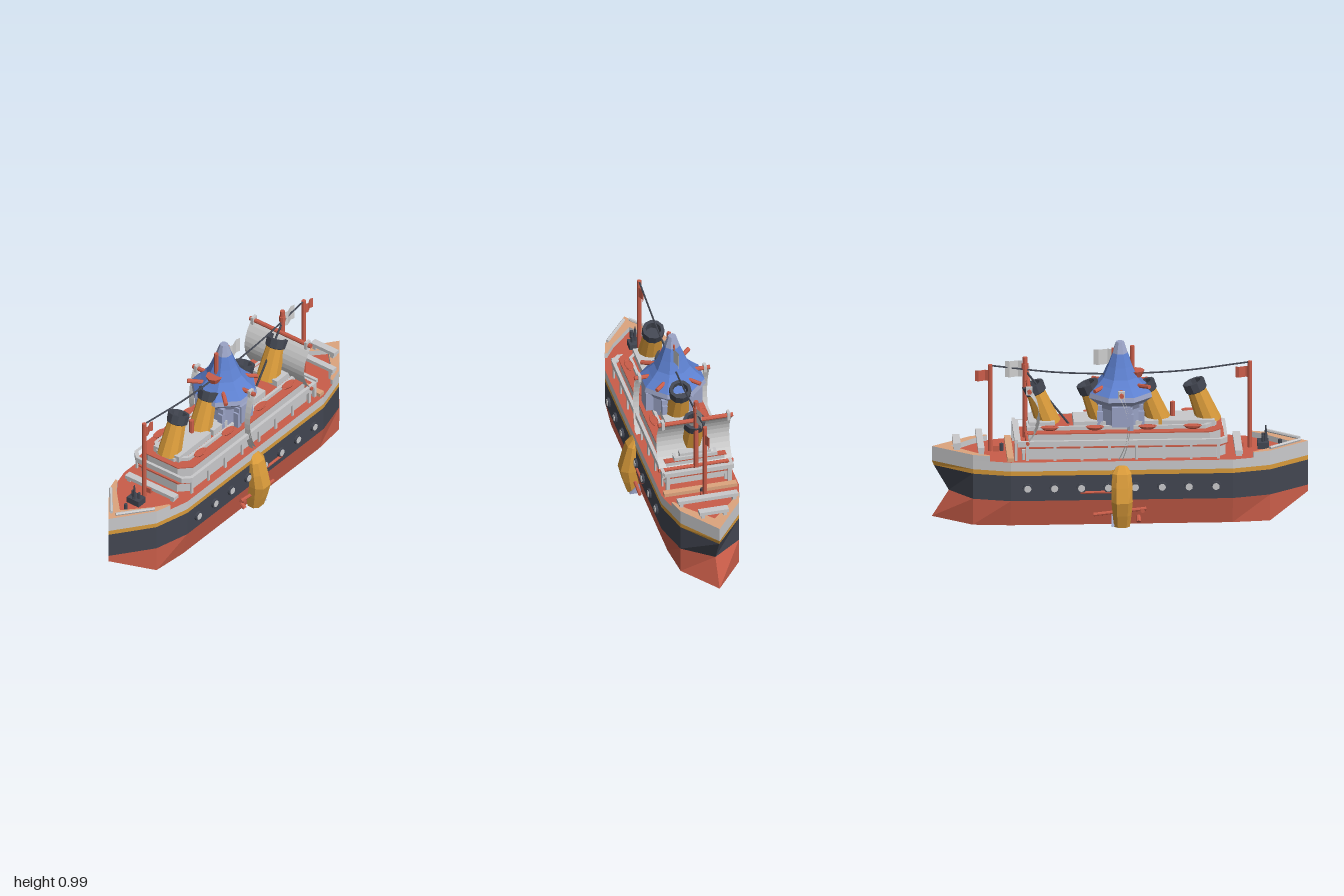
import * as THREE from 'three';

const mat = (name, color, side = THREE.FrontSide) => {
  const m = new THREE.MeshStandardMaterial({ color, side });
  m.name = name;
  return m;
};

export function createModel() {
  const ship = new THREE.Group();
  ship.name = 'steamship';
  const red = mat('red', 0xc95d49), dark = mat('charcoal', 0x424651), grey = mat('light grey', 0xc9c9cb);
  const gold = mat('gold', 0xd89a3a), tan = mat('tan', 0xdca47d), blue = mat('roof blue', 0x5d80cf);
  const slate = mat('slate blue', 0x9aa3c6), cloth = mat('sail cloth', 0xcfcfcf, THREE.DoubleSide);
  const redCloth = mat('red cloth', 0xc95d49, THREE.DoubleSide);

  // flat-shaded mesh
  const add = (name, geo, m, x = 0, y = 0, z = 0) => {
    const g = geo.index ? geo.toNonIndexed() : geo;
    g.computeVertexNormals();
    const mesh = new THREE.Mesh(g, m);
    mesh.name = name;
    mesh.position.set(x, y, z);
    ship.add(mesh);
    return mesh;
  };
  const box = (name, m, w, h, d, x, y, z) => add(name, new THREE.BoxGeometry(w, h, d), m, x, y, z);
  const cyl = (name, m, r0, r1, h, x, y, z, n = 8) => add(name, new THREE.CylinderGeometry(r1, r0, h, n), m, x, y, z);
  // round bar between two points
  const bar = (name, m, a, b, r, n = 8) => {
    const p = new THREE.Vector3(...a), q = new THREE.Vector3(...b), d = q.clone().sub(p);
    const c = p.clone().add(q).multiplyScalar(0.5);
    const mesh = cyl(name, m, r, r, d.length(), c.x, c.y, c.z, n);
    mesh.quaternion.setFromUnitVectors(new THREE.Vector3(0, 1, 0), d.normalize());
    return mesh;
  };
  // horizontal slab from an x,z outline
  const slab = (name, m, pts, y, h, hole) => {
    const v = (a) => a.map(([x, z]) => new THREE.Vector2(x, -z));
    const s = new THREE.Shape(v(pts));
    if (hole) s.holes.push(new THREE.Path(v(hole)));
    const g = new THREE.ExtrudeGeometry(s, { depth: h, bevelEnabled: false });
    return add(name, g.rotateX(-Math.PI / 2), m, 0, y, 0);
  };
  const outline = (w, z0, z1, c) => [[w, z0], [w, z1 - c], [w - c, z1], [c - w, z1], [-w, z1 - c], [-w, z0]];
  const faces = (quads) => {
    const p = [];
    for (const [a, b, c, d] of quads) p.push(...a, ...b, ...c, ...a, ...c, ...d);
    const g = new THREE.BufferGeometry();
    g.setAttribute('position', new THREE.Float32BufferAttribute(p, 3));
    return g;
  };

  // Hull: port half outline at each height, mirrored, then joined in coloured bands
  const level = (y, w, bowY, sternZ) => [[0, bowY, 1], [0.16, y, 0.79], [w, y, 0.59], [w, y, -0.59], [0.16, y, -0.79], [0, y, sternZ]];
  const flip = ([x, y, z]) => [-x, y, z];
  const levels = [level(0.03, 0.18, 0.14, -1), level(0.175, 0.212, 0.175, -0.91), level(0.315, 0.212, 0.315, -0.99),
    level(0.34, 0.212, 0.34, -1), level(0.39, 0.212, 0.39, -1)];
  const loops = levels.map((h) => [...h, ...h.slice(1, -1).reverse().map(flip)]);
  [['hullBottom', red], ['hullSide', dark], ['hullStripe', gold], ['hullTop', grey]].forEach(([name, m], k) => {
    const lo = loops[k], hi = loops[k + 1], n = lo.length;
    add(name, faces(lo.map((a, i) => [a, lo[(i + 1) % n], hi[(i + 1) % n], hi[i]])), m);
  });
  const cap = (h, up) => faces(h.slice(0, -1).map((a, i) => {
    const q = [a, flip(a), flip(h[i + 1]), h[i + 1]];
    return up ? q.reverse() : q;
  }));
  add('keel', cap(levels[0], false), red);
  add('deck', cap(levels[4], true), red);

  // Bulwarks at bow and stern, tan on top
  for (const s of [1, -1]) {
    const half = [[0.186, 0.7], [0.16, 0.79], [0, 1]], inner = [[0, 0.9], [0.12, 0.775], [0.172, 0.7]];
    const pts = [...half, ...half.slice(0, 2).reverse().map(([x, z]) => [-x, z]),
      ...inner.slice(1).reverse().map(([x, z]) => [-x, z]), ...inner.slice(0, 2), inner[2]];
    slab('bulwark', [tan, grey], pts.map(([x, z]) => [x, z * s]), 0.39, 0.03);
  }
  box('aftDeckStrip', tan, 0.4, 0.02, 0.035, 0, 0.4, -0.59);

  // Stacked deckhouses, red decks and grey rails
  slab('lowerHouse', grey, outline(0.165, -0.5, 0.555, 0.05), 0.39, 0.07);
  slab('lowerDeck', red, outline(0.18, -0.54, 0.57, 0.05), 0.455, 0.008);
  slab('lowerRail', grey, outline(0.195, -0.55, 0.565, 0.04), 0.47, 0.03, outline(0.177, -0.535, 0.548, 0.035));
  slab('upperHouse', grey, outline(0.16, -0.49, 0.53, 0.06), 0.46, 0.07);
  slab('upperDeck', red, outline(0.168, -0.5, 0.54, 0.06), 0.53, 0.006);
  slab('upperRail', grey, outline(0.118, -0.5, 0.51, 0.06), 0.536, 0.02, outline(0.102, -0.485, 0.495, 0.055));
  for (const [z, l] of [[0.36, 0.28], [0.13, 0.14], [-0.13, 0.24], [-0.42, 0.14]])
    box('topHouse', grey, 0.17, 0.037, l, 0, 0.553, z);
  for (const s of [1, -1]) for (let i = 0; i < 8; i++)
    box('railPost', grey, 0.01, 0.1, 0.015, s * 0.184, 0.43, -0.5 + i * 0.145);

  // Leaning funnels, hollow at the top
  for (const z of [0.465, 0.2, -0.1, -0.39]) {
    const f = new THREE.Group();
    f.name = 'funnel';
    const lathe = (name, m, pts) => {
      const mesh = add(name, new THREE.LatheGeometry(pts.map(([r, y]) => new THREE.Vector2(r, y)), 10), m);
      f.add(mesh);
    };
    lathe('funnelBody', gold, [[0.067, -0.03], [0.05, 0.16]]);
    lathe('funnelCap', dark, [[0.05, 0.155], [0.058, 0.16], [0.06, 0.21], [0.042, 0.21], [0.038, 0.17], [0, 0.17]]);
    f.position.set(0, 0.565, z);
    f.rotation.x = -0.37;
    ship.add(f);
  }

  // Central tower with conical roof
  const tower = (name, m, pts) => add(name, new THREE.LatheGeometry(pts.map(([r, y]) => new THREE.Vector2(r, y)), 8, Math.PI / 8), m);
  tower('towerWall', slate, [[0.125, 0.53], [0.125, 0.64], [0.145, 0.675]]);
  tower('towerEave', slate, [[0.145, 0.67], [0.182, 0.7], [0.175, 0.725]]);
  tower('towerRoof', blue, [[0.175, 0.725], [0.13, 0.765], [0.097, 0.8], [0.07, 0.86], [0.043, 0.93]]);
  tower('roofTip', slate, [[0.043, 0.93], [0.022, 0.99], [0, 0.99]]);
  for (const s of [1, -1]) {
    box('towerWing', slate, 0.05, 0.11, 0.1, s * 0.13, 0.615, 0);
    for (const [x, z] of [[0.07, 0.11], [0.07, -0.11], [0.13, 0.05]]) {
      box('towerButtress', slate, 0.03, 0.09, 0.03, s * x, 0.58, z);
      box('towerWindow', slate, 0.035, 0.03, 0.02, s * x, 0.645, z);
    }
  }

  // Masts, crow's nest and flags
  bar('foreMast', red, [0, 0.39, 0.69], [0, 0.87, 0.69], 0.012);
  bar('aftMast', red, [0, 0.39, -0.69], [0, 0.87, -0.69], 0.012);
  bar('sailMast', red, [0, 0.46, -0.505], [0, 0.91, -0.505], 0.013);
  bar('towerMast', red, [0, 0.74, 0.065], [0, 0.965, 0.065], 0.012);
  cyl('crowsNest', red, 0.03, 0.046, 0.035, 0, 0.812, 0.085);
  cyl('mastCollar', red, 0.018, 0.018, 0.03, 0, 0.86, -0.505);
  for (const [m, y, z, h, w] of [[redCloth, 0.81, 0.65, 0.06, 0.07], [redCloth, 0.81, -0.735, 0.06, 0.07],
    [cloth, 0.845, -0.565, 0.09, 0.09], [cloth, 0.905, -0.09, 0.085, 0.1]]) {
    const g = new THREE.PlaneGeometry(w, h, 4, 1).rotateY(Math.PI / 2), p = g.attributes.position;
    for (let i = 0; i < p.count; i++) p.setX(i, 0.008 * Math.sin((p.getZ(i) / w) * 6.28));
    add('flag', g, m, 0, y, z);
  }
  bar('flagStaff', red, [0, 0.84, -0.04], [0, 0.955, -0.04], 0.006);

  // Rigging
  for (const s of [1, -1]) {
    const c = new THREE.CatmullRomCurve3([[0.865, 0.69], [0.822, 0.34], [0.808, 0.04]].map(([y, z]) => new THREE.Vector3(0, y, z * s)));
    add('rigging', new THREE.TubeGeometry(c, 8, 0.005, 5), dark);
  }
  bar('stay', dark, [0, 0.53, -0.27], [0, 0.83, -0.5], 0.006, 5);

  // Bowed sails on their yards: one aft, two narrow ones beside the tower
  const sail = (name, x, w, y0, y1, z, bulge) => {
    const g = new THREE.PlaneGeometry(w, y1 - y0, 1, 10), p = g.attributes.position;
    for (let i = 0; i < p.count; i++) p.setZ(i, bulge * (1 - (2 * p.getY(i) / (y1 - y0)) ** 2));
    add(name, g, cloth, x, (y0 + y1) / 2, z);
  };
  sail('aftSail', 0, 0.4, 0.49, 0.775, -0.5, 0.065);
  bar('aftYard', red, [-0.205, 0.778, -0.49], [0.205, 0.778, -0.49], 0.012);
  bar('aftLowerYard', red, [-0.205, 0.49, -0.5], [0.205, 0.49, -0.5], 0.01);
  for (const s of [1, -1]) {
    for (let k = 0; k < 2; k++) sail('sideSail', s * 0.187, 0.03, 0.39, 0.745, -0.015 + k * 0.02, 0.05 - k * 0.012);
    bar('sideYard', red, [s * 0.09, 0.748, 0], [s * 0.207, 0.748, 0], 0.012);
    box('yardClamp', grey, 0.016, 0.045, 0.035, s * 0.18, 0.778, -0.49);
    box('yardClamp', grey, 0.016, 0.04, 0.035, s * 0.18, 0.748, 0);
    // short spars poking out of the roof
    bar('roofSpar', red, [s * 0.05, 0.76, 0.08], [s * 0.13, s > 0 ? 0.735 : 0.775, 0.15], 0.012);
    bar('roofSpar', red, [s * 0.05, 0.76, -0.08], [s * 0.12, 0.75, -0.14], 0.011);
  }

  // Portholes, lifeboats and paddle boxes on both sides
  for (const s of [1, -1]) {
    for (let i = 0; i < 8; i++) {
      const z = (i - 3.5) * 0.143;
      bar('portholeRim', dark, [s * 0.2, 0.245, z], [s * 0.224, 0.245, z], 0.027, 12);
      bar('portholeGlass', grey, [s * 0.21, 0.245, z], [s * 0.227, 0.245, z], 0.019, 12);
    }
    for (const z of [0.38, 0.14, -0.14, -0.38]) {
      const hull = new THREE.SphereGeometry(1, 10, 6, 0, Math.PI * 2, Math.PI / 2, Math.PI / 2);
      add('lifeboat', hull.scale(0.021, 0.02, 0.045), red, s * 0.137, 0.56, z);
      add('lifeboatRim', new THREE.TorusGeometry(1, 0.15, 5, 12).rotateX(Math.PI / 2).scale(0.02, 0.025, 0.044), red, s * 0.137, 0.56, z);
      cyl('lifeboatCover', red, 1, 1, 0.004, s * 0.137, 0.559, z, 12).scale.set(0.019, 1, 0.043);
    }
    const ring = ([y, x, w]) => {
      const r = [[0.19, y, w], [x - (x - 0.2) * 0.4, y, w], [x, y, w * 0.55]];
      const all = [...r, ...r.map(([a, b, c]) => [a, b, -c]).reverse()];
      return s > 0 ? all : all.map(flip).reverse();
    };
    const rings = [[0.03, 0.25, 0.042], [0.1, 0.272, 0.05], [0.175, 0.29, 0.056], [0.255, 0.27, 0.056], [0.325, 0.25, 0.05], [0.365, 0.214, 0.026]].map(ring);
    const q = [];
    for (let k = 0; k < 5; k++) for (let i = 0; i < 6; i++) {
      const j = (i + 1) % 6;
      q.push([rings[k][i], rings[k][j], rings[k + 1][j], rings[k + 1][i]]);
    }
    const end = (r) => [[r[0], r[1], r[4], r[5]], [r[1], r[2], r[3], r[4]]];
    q.push(...end(rings[5]), ...end(rings[0]).map((f) => f.reverse()));
    add('paddleBox', faces(q), gold);
    // struts and fins beside the paddle box
    bar('strut', red, [s * 0.215, 0.125, 0.13], [s * 0.215, 0.095, -0.15], 0.01);
    bar('strut', red, [s * 0.217, 0.22, -0.05], [s * 0.217, 0.22, -0.22], 0.008);
    bar('strutEnd', red, [s * 0.18, 0.115, 0.11], [s * 0.226, 0.115, 0.11], 0.012);
    bar('strutEnd', red, [s * 0.18, 0.08, 0.09], [s * 0.21, 0.05, 0.09], 0.012);
    slab('fin', slate, [[0, 0], [s * 0.06, 0], [0, -0.07]], 0, 0.015).rotation.x = Math.PI / 2;
    ship.children[ship.children.length - 1].position.set(s * 0.185, 0.035, -0.055);
  }

  // Machinery under the keel
  box('keelPlate', dark, 0.13, 0.006, 0.5, 0, 0.029, -0.04);
  cyl('keelDisc', slate, 0.12, 0.12, 0.008, 0, 0.027, 0, 12);
  for (let i = 0; i < 6; i++) box('keelBlade', dark, 0.32, 0.006, 0.025, 0, 0.024, 0).rotation.y = (i * Math.PI) / 6;
  cyl('keelHub', red, 0.04, 0.045, 0.024, 0, 0.02, 0, 12);
  cyl('hubCap', dark, 0.03, 0.036, 0.01, 0, 0.005, 0, 12);

  // Deck fittings: benches, bow rails and winch
  for (const [z, w, y, d] of [[-0.87, 0.16, 0.45, 0.04], [-0.745, 0.33, 0.45, 0.035], [0.625, 0.33, 0.415, 0.04], [-0.56, 0.38, 0.5, 0.018], [-0.52, 0.36, 0.44, 0.018]]) {
    box('bench', grey, w, 0.02, d, 0, y, z);
    for (const s of [1, -1]) box('benchLeg', grey, 0.02, y - 0.39, d * 0.8, s * (w / 2 - 0.02), (y + 0.39) / 2, z);
  }
  for (const s of [1, -1]) {
    bar('bowRail', grey, [s * 0.148, 0.432, 0.79], [s * 0.015, 0.432, 0.955], 0.009, 6);
    bar('bollard', dark, [s * 0.02, 0.42, 0.76], [s * 0.02, 0.46, 0.76], 0.008);
  }
  box('winch', dark, 0.08, 0.035, 0.06, 0, 0.407, 0.76);
  cyl('winchSpike', dark, 0.012, 0.003, 0.09, 0, 0.465, 0.775, 6);
  for (const z of [0.85, -0.63]) cyl('deckPost', dark, 0.01, 0.01, 0.04, 0, 0.41, z);
  for (const z of [0.64, -0.66]) box('hatch', red, 0.03, 0.03, 0.03, 0, 0.405, z);
  bar('ventPipe', red, [0, 0.57, 0.28], [0, 0.65, 0.28], 0.013);
  return ship;
}
